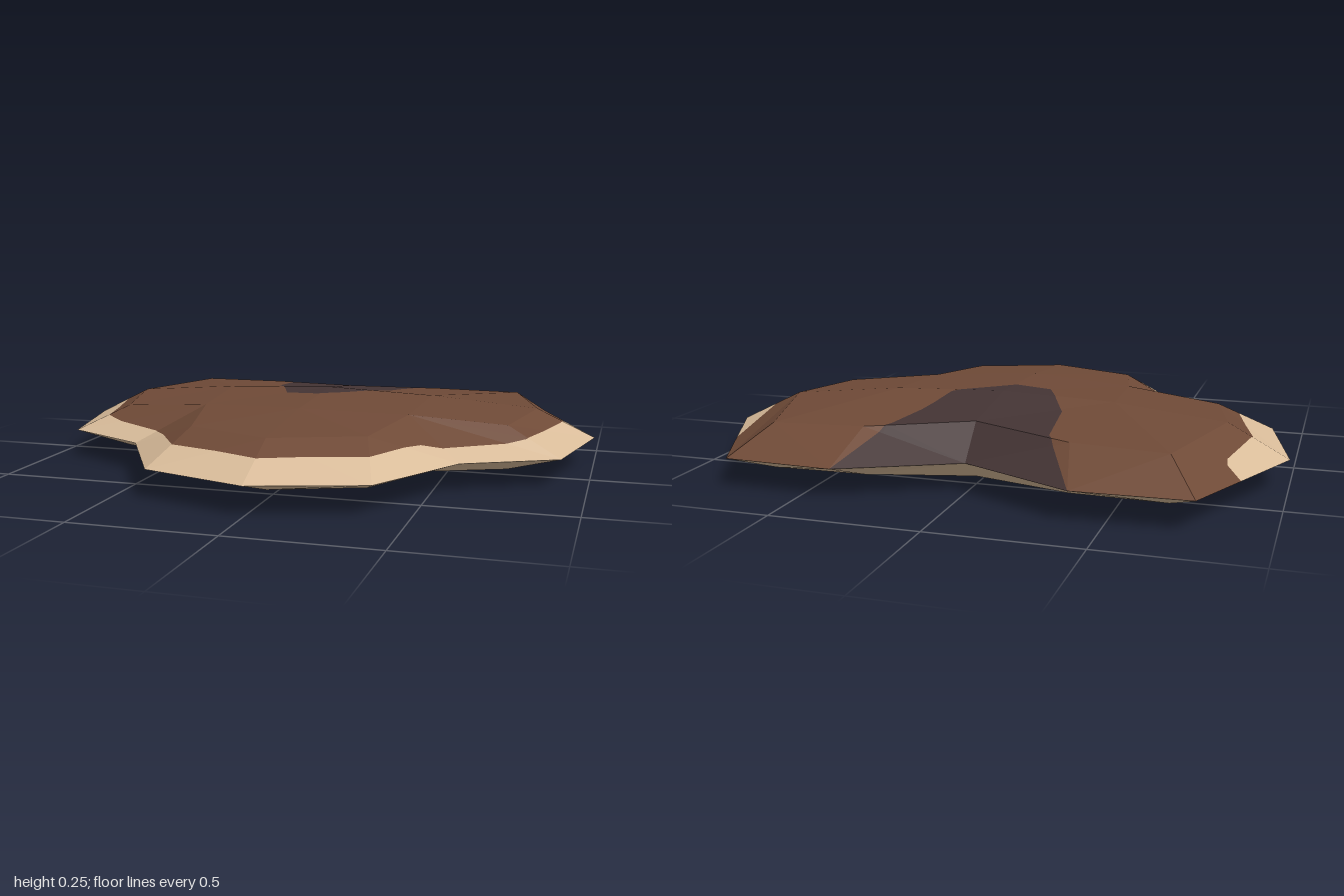
import * as THREE from 'three';

// Half of the shell, listed from the back notch round to the front tip: [x, y, z]
const RIM = [[0, .1, -.61], [.39, .1, -.8], [.77, .1, -.785], [1, .1, -.26],
  [.91, .1, .15], [.59, .1, .31], [.38, .1, .68], [0, .1, .8]];
const SHOULDER = [[0, .215, -.5], [.35, .2, -.62], [.67, .195, -.64], [.79, .205, -.23],
  [.72, .195, .08], [.38, .225, .14], [.31, .205, .45], [0, .205, .57]];
const [N, G, F, E, D, C, B, A] = SHOULDER;
const MID = [0, .255, -.2], SIDE = [.4, .24, -.2], FORE = [0, .24, .2];

// Paint outlines seen from above: [x, z]
const BROWN = [[0, .67], [.34, .55], [.46, .32], [.53, .255], [.79, .11], [.88, -.23], [.88, -.53],
  [.95, -.9], [-.95, -.9], [-.875, -.55], [-.825, -.5], [-.82, -.46], [-.875, -.23],
  [-.79, .11], [-.53, .255], [-.46, .36], [-.34, .55]];
const DARK = [[-.39, -.8], [-.27, -.57], [-.25, -.34], [-.2, -.23], [-.14, -.085], [-.01, -.065],
  [.08, -.13], [.19, -.22], [.225, -.42], [.27, -.57], [.39, -.8], [0, -.95]];

function halfTriangles() {
  const tris = [[N, G, SIDE], [N, SIDE, MID], [G, F, SIDE], [F, E, SIDE], [E, D, SIDE],
    [D, C, SIDE], [MID, SIDE, C], [MID, C, FORE], [FORE, C, B], [FORE, B, A]];
  for (let i = 0; i < RIM.length - 1; i++) {
    tris.push([RIM[i], RIM[i + 1], SHOULDER[i + 1]], [RIM[i], SHOULDER[i + 1], SHOULDER[i]]);
  }
  return tris;
}

// Orders the corners so the face points up or down
function facing([a, b, c], up) {
  const ny = (b[2] - a[2]) * (c[0] - a[0]) - (b[0] - a[0]) * (c[2] - a[2]);
  return (ny > 0) === up ? [a, b, c] : [a, c, b];
}

function inside(x, z, poly) {
  let hit = false;
  poly.forEach(([ax, az], i) => {
    const [bx, bz] = poly[(i + 1) % poly.length];
    if ((az > z) !== (bz > z) && x < ax + (bx - ax) * (z - az) / (bz - az)) hit = !hit;
  });
  return hit;
}

// Cuts a flat convex face in two along the line through p and q
function cut(face, p, q) {
  const dist = v => (q[0] - p[0]) * (v[2] - p[1]) - (q[1] - p[1]) * (v[0] - p[0]);
  const xs = face.map(v => v[0]), zs = face.map(v => v[2]);
  if (Math.max(p[0], q[0]) < Math.min(...xs) || Math.min(p[0], q[0]) > Math.max(...xs) ||
      Math.max(p[1], q[1]) < Math.min(...zs) || Math.min(p[1], q[1]) > Math.max(...zs)) return [face];
  const sides = [[], []];
  face.forEach((a, i) => {
    const b = face[(i + 1) % face.length], da = dist(a), db = dist(b);
    if (da >= -1e-7) sides[0].push(a);
    if (da <= 1e-7) sides[1].push(a);
    if ((da > 1e-7 && db < -1e-7) || (da < -1e-7 && db > 1e-7)) {
      const t = da / (da - db), m = a.map((v, k) => v + (b[k] - v) * t);
      sides[0].push(m);
      sides[1].push(m);
    }
  });
  return sides.filter(s => s.length > 2);
}

function buildMesh(name, faces, material) {
  const pos = [];
  for (const f of faces) {
    for (let i = 1; i < f.length - 1; i++) pos.push(...f[0], ...f[i], ...f[i + 1]);
  }
  const geo = new THREE.BufferGeometry();
  geo.setAttribute('position', new THREE.Float32BufferAttribute(pos, 3));
  geo.computeVertexNormals();
  const mesh = new THREE.Mesh(geo, material);
  mesh.name = name;
  return mesh;
}

function paint(name, color) {
  const material = new THREE.MeshStandardMaterial({ color });
  material.name = name;
  return material;
}

export function createModel() {
  const group = new THREE.Group();
  group.name = 'lobedShell';
  const tan = paint('tan', 0xd9bc9a);
  const brown = paint('brown', 0x6f4a37);
  const dark = paint('darkBrown', 0x443434);

  const half = halfTriangles();
  const whole = [...half, ...half.map(t => t.map(([x, y, z]) => [-x, y, z]))];

  // Upper side, cut along the paint outlines and sorted by colour
  let faces = whole.map(t => facing(t, true));
  for (const poly of [BROWN, DARK]) {
    poly.forEach((p, i) => {
      faces = faces.flatMap(f => cut(f, p, poly[(i + 1) % poly.length]));
    });
  }
  const parts = { rimBand: [], crown: [], notchPatch: [] };
  for (const f of faces) {
    const x = f.reduce((s, v) => s + v[0], 0) / f.length;
    const z = f.reduce((s, v) => s + v[2], 0) / f.length;
    const part = inside(x, z, DARK) ? 'notchPatch' : inside(x, z, BROWN) ? 'crown' : 'rimBand';
    parts[part].push(f);
  }
  group.add(buildMesh('rimBand', parts.rimBand, tan));
  group.add(buildMesh('crown', parts.crown, brown));
  group.add(buildMesh('notchPatch', parts.notchPatch, dark));

  // Underside: the same shape, mirrored and shallower
  const under = whole.map(t => facing(t.map(([x, y, z]) => [x, .1 - (y - .1) * .645, z]), false));
  group.add(buildMesh('underside', under, tan));
  return group;
}
